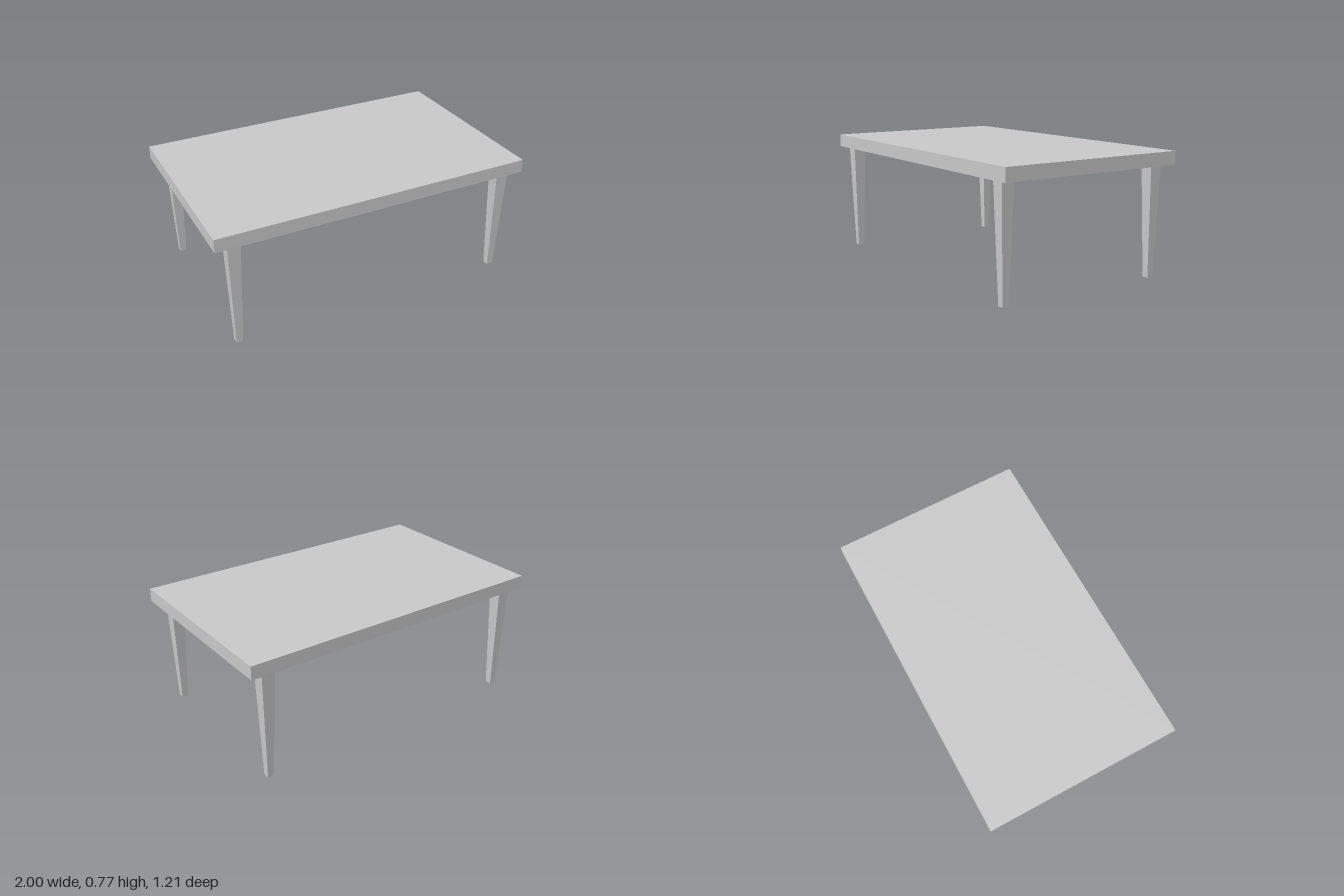
import * as THREE from 'three';

const TOP_Y = 0.772, UNDER_Y = 0.69;

export function createModel() {
  const model = new THREE.Group();
  model.name = 'table';
  const material = new THREE.MeshStandardMaterial({ color: 0xcccccc, flatShading: true });

  // Slab top
  const top = new THREE.Mesh(new THREE.BoxGeometry(2, TOP_Y - UNDER_Y, 1.21), material);
  top.name = 'tableTop';
  top.position.y = (TOP_Y + UNDER_Y) / 2;
  model.add(top);

  // Square legs tapering to half their width at the foot
  const addLeg = (name, x, z, footY) => {
    const height = UNDER_Y - footY;
    const geometry = new THREE.CylinderGeometry(0.04 * Math.SQRT2, 0.02 * Math.SQRT2, height, 4, 1);
    geometry.rotateY(Math.PI / 4);
    const leg = new THREE.Mesh(geometry, material);
    leg.name = name;
    leg.position.set(x, footY + height / 2, z);
    model.add(leg);
  };
  for (const [side, x] of [['Left', 0.88], ['Right', -0.88]]) {
    addLeg(`front${side}Leg`, x, 0.532, 0.004);
    addLeg(`back${side}Leg`, x, -0.532, 0);
  }

  return model;
}
